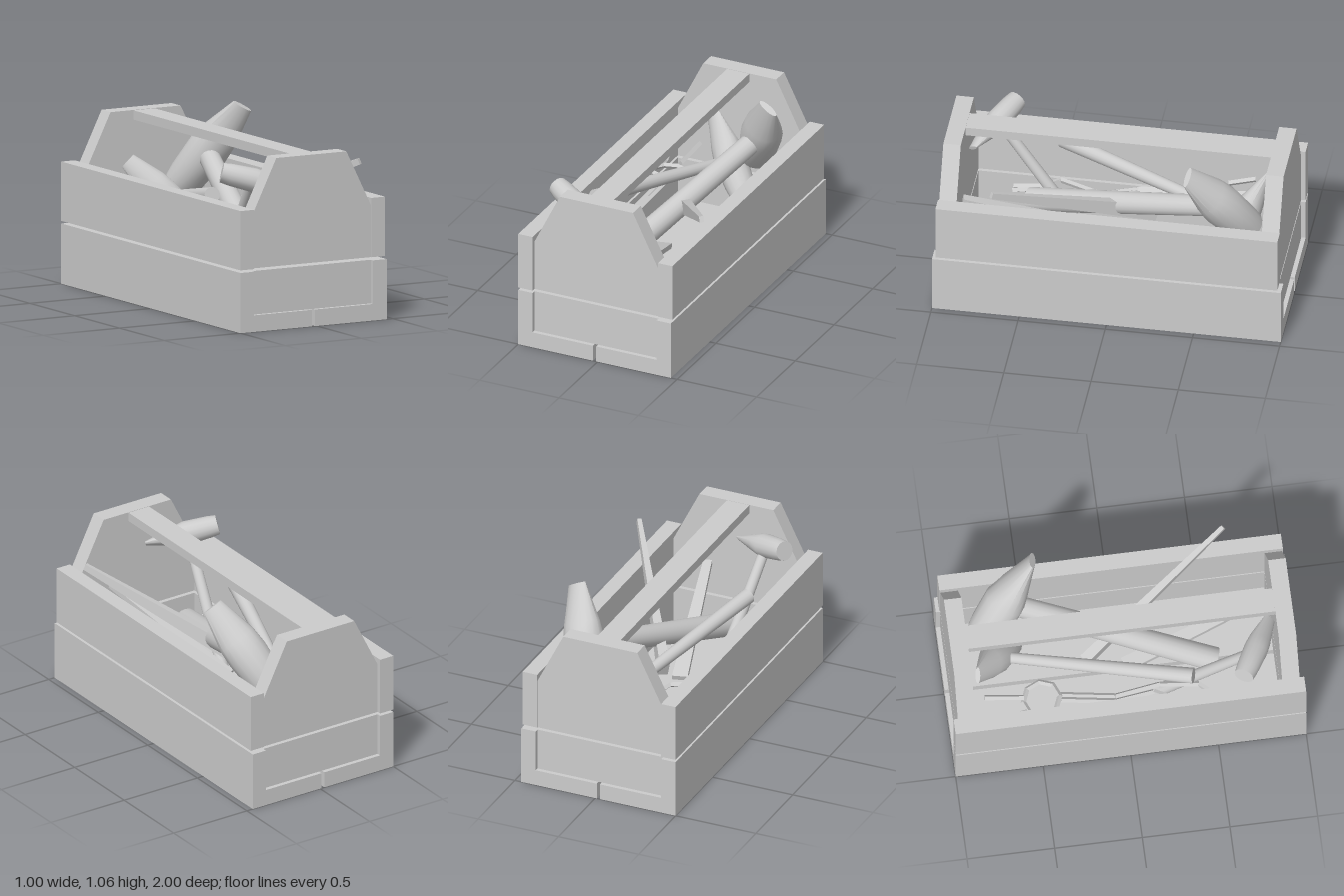
import * as THREE from 'three';
import { toCreasedNormals } from 'three/addons/utils/BufferGeometryUtils.js';

const material = new THREE.MeshStandardMaterial({ color: 0xcccccc });
const V = (p) => new THREE.Vector3(...p);

export function createModel() {
  const root = new THREE.Group();

  const add = (name, geometry, parent = root) => {
    const mesh = new THREE.Mesh(geometry, material);
    mesh.name = name;
    parent.add(mesh);
    return mesh;
  };

  // Box given by its lower and upper corners
  const box = (name, x0, x1, y0, y1, z0, z1) => {
    const mesh = add(name, new THREE.BoxGeometry(x1 - x0, y1 - y0, z1 - z0));
    mesh.position.set((x0 + x1) / 2, (y0 + y1) / 2, (z0 + z1) / 2);
  };

  // Round or square bar between two points
  const bar = (name, a, b, ra, rb, parent = root, sides = 16) => {
    const d = b.clone().sub(a);
    const geo = new THREE.CylinderGeometry(rb, ra, d.length(), sides);
    const mesh = add(name, toCreasedNormals(geo, 0.6), parent);
    mesh.position.copy(a).lerp(b, 0.5);
    mesh.quaternion.setFromUnitVectors(new THREE.Vector3(0, 1, 0), d.normalize());
    return mesh;
  };

  // Flat tapered blade between two points, wide along the given direction
  const blade = (name, a, b, wideDir, widths, thicknesses) => {
    const y = b.clone().sub(a);
    const length = y.length();
    y.normalize();
    const z = wideDir.clone().cross(y).normalize();
    const x = y.clone().cross(z);
    const geo = new THREE.BoxGeometry(1, length, 1);
    const p = geo.attributes.position;
    for (let i = 0; i < p.count; i++) {
      const end = p.getY(i) > 0 ? 1 : 0;
      p.setX(i, p.getX(i) * widths[end]);
      p.setZ(i, p.getZ(i) * thicknesses[end]);
    }
    const mesh = add(name, toCreasedNormals(geo, 0.3));
    mesh.quaternion.setFromRotationMatrix(new THREE.Matrix4().makeBasis(x, y, z));
    mesh.position.copy(a).lerp(b, 0.5);
  };

  // Hammer: round face narrowing to a wedge edge, and a handle
  const hammer = (name, face, tip, end, r, gripStart, gripEnd) => {
    const group = new THREE.Group();
    group.name = name;
    root.add(group);
    const y = tip.clone().sub(face);
    const length = y.length();
    y.normalize();
    const mid = face.clone().lerp(tip, 0.42);
    const x = y.clone().cross(end.clone().sub(mid)).normalize();
    const z = x.clone().cross(y);
    // rows along the head: position, half width, half thickness
    const rows = [[0, 0.85, 0.85], [0.12, 0.95, 0.95], [0.45, 1.05, 1.05], [0.62, 1, 0.8], [1, 0.55, 0.17]];
    const geo = new THREE.CylinderGeometry(1, 1, 1, 16, rows.length - 1);
    const p = geo.attributes.position;
    for (let i = 0; i < p.count; i++) {
      const [u, w, t] = rows[Math.round((p.getY(i) + 0.5) * (rows.length - 1))];
      p.setXYZ(i, p.getX(i) * w * r, (u - 0.5) * length, p.getZ(i) * t * r);
    }
    const head = add(name + 'Head', toCreasedNormals(geo, 0.7), group);
    head.quaternion.setFromRotationMatrix(new THREE.Matrix4().makeBasis(x, y, z));
    head.position.copy(face).lerp(tip, 0.5);
    bar(name + 'Handle', mid, end, gripStart, gripEnd, group);
  };

  // Planks of the crate
  box('floorPlankRight', -0.41, -0.03, 0, 0.095, -1, 1);
  box('floorPlankLeft', -0.01, 0.37, 0, 0.095, -1, 1);
  box('lowerSideRight', -0.5, -0.41, 0, 0.345, -1, 1);
  box('lowerSideLeft', 0.37, 0.46, 0, 0.345, -1, 1);
  box('upperSideRight', -0.5, -0.41, 0.36, 0.7, -1, 1);
  box('upperSideLeft', 0.37, 0.46, 0.36, 0.7, -0.98, 0.98);
  box('carryBar', -0.1, 0.04, 0.925, 0.978, -0.88, 0.88);

  // End boards: a low plank and a tall one with sloped shoulders
  const outline = [[-0.41, 0.36], [0.37, 0.36], [0.37, 0.66], [0.21, 0.98], [-0.25, 0.98], [-0.41, 0.66]];
  const shape = new THREE.Shape(outline.map(([x, y]) => new THREE.Vector2(x, y)));
  for (const [side, z] of [['front', 0.875], ['back', -0.975]]) {
    box(side + 'LowerEnd', -0.41, 0.37, 0.095, 0.345, z, z + 0.1);
    add(side + 'UpperEnd', new THREE.ExtrudeGeometry(shape, { depth: 0.1, bevelEnabled: false })).position.z = z;
  }

  // Hammers
  hammer('smallHammer', V([-0.42, 0.865, 0.655]), V([-0.06, 0.765, 0.85]), V([-0.18, 0.16, 0.23]), 0.066, 0.03, 0.036);
  hammer('largeHammer', V([0.14, 0.55, -0.76]), V([0.365, 1.025, -0.45]), V([-0.13, 0.39, 0.53]), 0.115, 0.06, 0.07);
  hammer('mediumHammer', V([0.13, 0.36, -0.61]), V([-0.165, 0.7, -0.83]), V([-0.32, 0.69, 0.38]), 0.09, 0.03, 0.045);

  // Chisel leaning out over the side, and a flat file
  blade('chisel', V([-0.06, 0.45, -0.2]), V([0.485, 0.855, 0.655]), V([0.3, -1, 0.3]), [0.1, 0.035], [0.06, 0.025]);
  blade('file', V([-0.06, 0.28, 0.02]), V([0.155, 0.56, 0.87]), V([1, 0, -0.2]), [0.09, 0.05], [0.03, 0.03]);

  // Pliers: angular hinge ring, jaws and bent legs
  const pliers = new THREE.Group();
  pliers.name = 'pliers';
  root.add(pliers);
  const ring = add('pliersRing', toCreasedNormals(new THREE.TorusGeometry(0.105, 0.016, 4, 8), 0.3), pliers);
  ring.position.set(-0.27, 0.47, -0.48);
  ring.rotation.x = Math.PI / 2 - 0.15;
  const paths = {
    jawRight: [[-0.34, 0.48, -0.57], [-0.375, 0.5, -0.72]],
    jawLeft: [[-0.25, 0.48, -0.58], [-0.235, 0.51, -0.8]],
    legRight: [[-0.28, 0.45, -0.37], [-0.31, 0.4, -0.06], [-0.27, 0.37, 0.16], [-0.39, 0.35, 0.4], [-0.33, 0.34, 0.49], [-0.33, 0.32, 0.66]],
    legLeft: [[-0.25, 0.45, -0.37], [-0.28, 0.4, -0.06], [-0.23, 0.37, 0.2], [-0.25, 0.35, 0.42], [-0.31, 0.34, 0.49], [-0.29, 0.32, 0.66]],
  };
  for (const [name, path] of Object.entries(paths)) {
    for (let i = 1; i < path.length; i++) bar(name, V(path[i - 1]), V(path[i]), 0.016, 0.016, pliers, 4);
  }

  return root;
}
